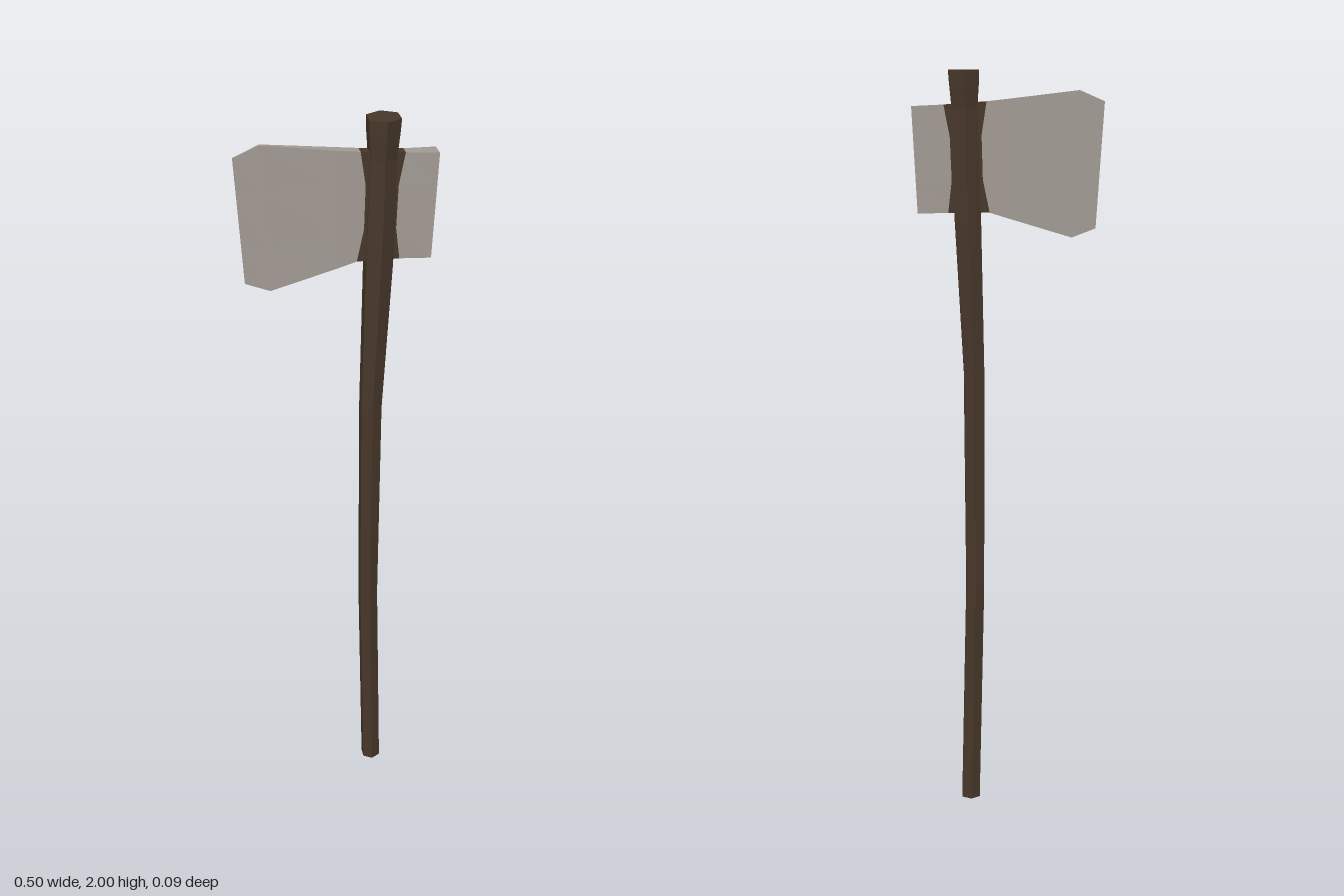
import * as THREE from 'three';

const wood = new THREE.MeshStandardMaterial({ color: 0x47372a, flatShading: true });
wood.name = 'dark wood';
const steel = new THREE.MeshStandardMaterial({ color: 0xa39b94, flatShading: true });
steel.name = 'pale steel';

// Hexagonal shaft: [y, centre x, radius] from top to bottom
const SHAFT = [
  [2.0, 0.113, 0.045], [1.965, 0.112, 0.043], [1.9, 0.111, 0.037], [1.75, 0.108, 0.04],
  [1.62, 0.104, 0.039], [1.22, 0.09, 0.031], [0.62, 0.09, 0.028], [0, 0.105, 0.028],
];

function shaftGeometry() {
  const n = SHAFT.length - 1;
  const geo = new THREE.CylinderGeometry(1, 1, 1, 6, n);
  const p = geo.attributes.position;
  for (let i = 0; i < p.count; i++) {
    const [y, cx, r] = SHAFT[Math.round((0.5 - p.getY(i)) * n)];
    p.setXYZ(i, cx + p.getX(i) * r, y, p.getZ(i) * r);
  }
  geo.computeVertexNormals();
  return geo;
}

// Slab through upright columns: [top x, top y, bottom x, bottom y, half thickness, bow]
const ROWS = [0, 0.3, 0.7, 1];
function slabGeometry(columns) {
  const pos = [];
  const point = ([xt, yt, xb, yb, h, bow], row, side) => {
    const t = ROWS[row];
    return [xt + (xb - xt) * t + bow * 4 * t * (1 - t), yt + (yb - yt) * t, h * side];
  };
  const quad = (a, b, c, d) => pos.push(...a, ...b, ...c, ...a, ...c, ...d);
  const last = ROWS.length - 1;
  for (let i = 0; i < columns.length - 1; i++) {
    const l = columns[i], r = columns[i + 1];
    for (let k = 0; k < last; k++) {
      quad(point(l, k, 1), point(l, k + 1, 1), point(r, k + 1, 1), point(r, k, 1));
      quad(point(r, k, -1), point(r, k + 1, -1), point(l, k + 1, -1), point(l, k, -1));
    }
    quad(point(l, 0, 1), point(r, 0, 1), point(r, 0, -1), point(l, 0, -1));
    quad(point(l, last, -1), point(r, last, -1), point(r, last, 1), point(l, last, 1));
  }
  // End face on the +x side
  const e = columns[columns.length - 1];
  for (let k = 0; k < last; k++) {
    quad(point(e, k, 1), point(e, k + 1, 1), point(e, k + 1, -1), point(e, k, -1));
  }
  const geo = new THREE.BufferGeometry();
  geo.setAttribute('position', new THREE.Float32BufferAttribute(pos, 3));
  geo.computeVertexNormals();
  return geo;
}

export function createModel() {
  const model = new THREE.Group();
  model.name = 'axe';
  const add = (name, geo, material, parent) => {
    const mesh = new THREE.Mesh(geo, material);
    mesh.name = name;
    parent.add(mesh);
  };

  add('handle', shaftGeometry(), wood, model);

  // Head: tapering blade, dark collar around the shaft, flaring poll
  const head = new THREE.Group();
  head.name = 'axeHead';
  model.add(head);
  const collarLeft = [0.055, 1.922, 0.048, 1.641, 0.014, 0.018];
  const collarRight = [0.165, 1.914, 0.155, 1.641, 0.014, -0.015];
  add('blade', slabGeometry([
    [-0.25, 1.922, -0.23, 1.598, 0.0005, 0],
    [-0.185, 1.95, -0.167, 1.575, 0.004, 0],
    [0, 1.928, 0, 1.626, 0.013, 0],
    collarLeft,
  ]), steel, head);
  add('collar', slabGeometry([collarLeft, collarRight]), wood, head);
  add('poll', slabGeometry([collarRight, [0.247, 1.91, 0.234, 1.64, 0.022, 0]]), steel, head);
  return model;
}
